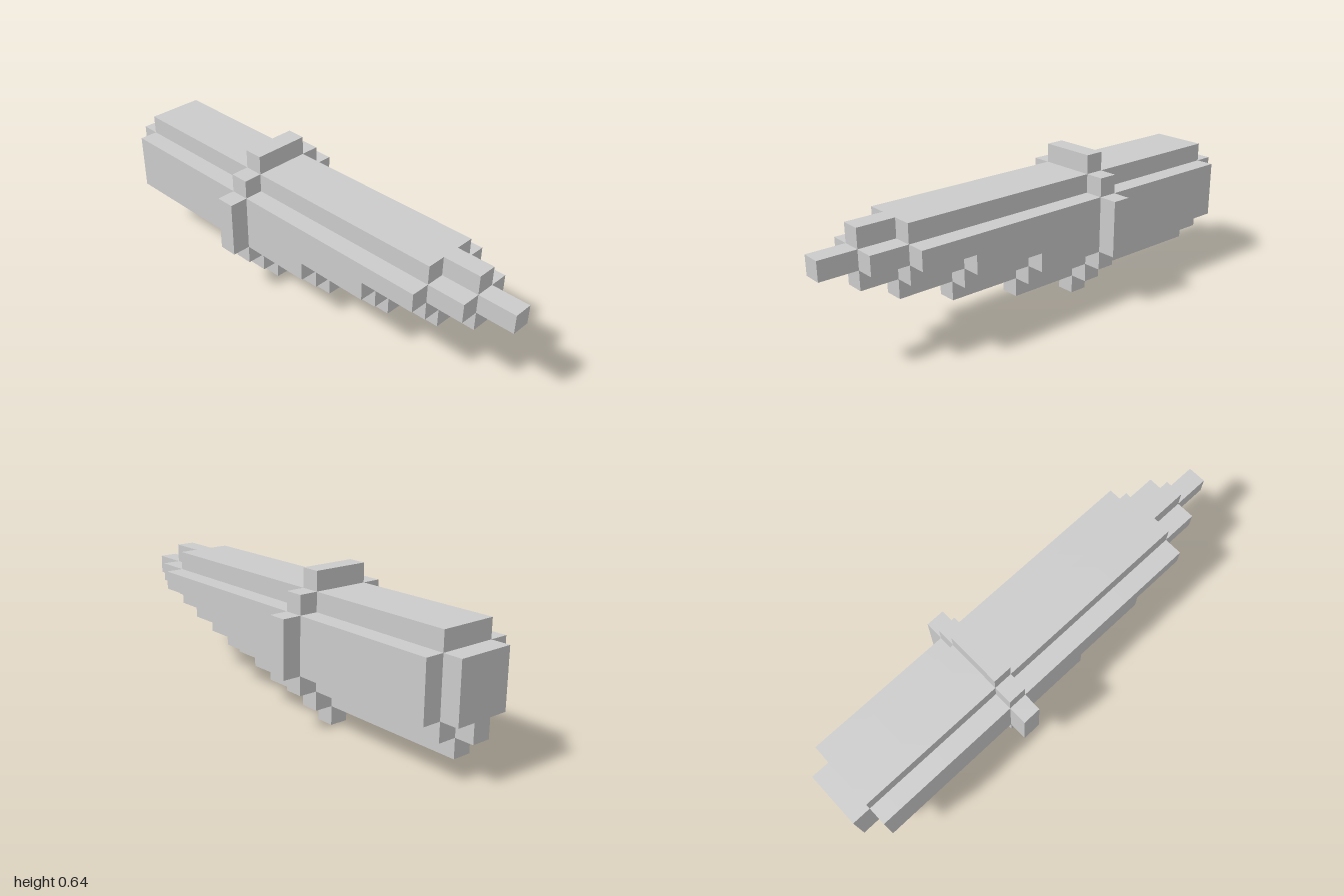
import * as THREE from 'three';
import { mergeGeometries } from 'three/addons/utils/BufferGeometryUtils.js';

const U = 0.08; // edge of one block
const COLLAR_Z = 9; // block slice that carries the collar
const COLLAR_HALF = [0, 1, 2, 3, 3, 3, 2, 1]; // collar half width per row, bottom to top
const NOSE = [25, 23, 21, 18, 14]; // where the stepped nose ends, by distance from its tip

// Collar: one slice, one block wider than the hull all round
const inCollar = (x, y, z) =>
  z === COLLAR_Z && y >= 0 && y <= 7 && Math.abs(x) <= COLLAR_HALF[y];

// Hull: long block body with a stepped nose, raked underside and inset back plate
function inHull(x, y, z) {
  if (y < 1 || y > 6 || z === COLLAR_Z) return false;
  const d = Math.abs(x);
  const half = COLLAR_HALF[y] - 1;
  if (d > half) return false;
  const back = d === half || y === 6 ? 1 : 0;
  return z >= back && z < NOSE[Math.abs(5 - y) + d];
}

const filled = (x, y, z) => inCollar(x, y, z) || inHull(x, y, z);

// Outward direction and the turn that points a plane that way
const SIDES = [
  [1, 0, 0, 0, Math.PI / 2],
  [-1, 0, 0, 0, -Math.PI / 2],
  [0, 1, 0, -Math.PI / 2, 0],
  [0, -1, 0, Math.PI / 2, 0],
  [0, 0, 1, 0, 0],
  [0, 0, -1, 0, Math.PI],
];

// Only the exposed faces of the blocks in a part
function blockGeometry(inside) {
  const faces = [];
  for (let x = -3; x <= 3; x++)
    for (let y = 0; y < 8; y++)
      for (let z = 0; z < 25; z++) {
        if (!inside(x, y, z)) continue;
        for (const [dx, dy, dz, rx, ry] of SIDES) {
          if (filled(x + dx, y + dy, z + dz)) continue;
          const face = new THREE.PlaneGeometry(U, U);
          face.rotateX(rx).rotateY(ry);
          face.translate(
            (x + dx / 2) * U,
            (y + 0.5 + dy / 2) * U,
            (z - 12 + dz / 2) * U
          );
          faces.push(face);
        }
      }
  return mergeGeometries(faces);
}

export function createModel() {
  const model = new THREE.Group();
  model.name = 'blockHull';
  const material = new THREE.MeshStandardMaterial({ color: 0xcccccc, flatShading: true });
  for (const [name, inside] of [['hull', inHull], ['collar', inCollar]]) {
    const mesh = new THREE.Mesh(blockGeometry(inside), material);
    mesh.name = name;
    model.add(mesh);
  }
  return model;
}
